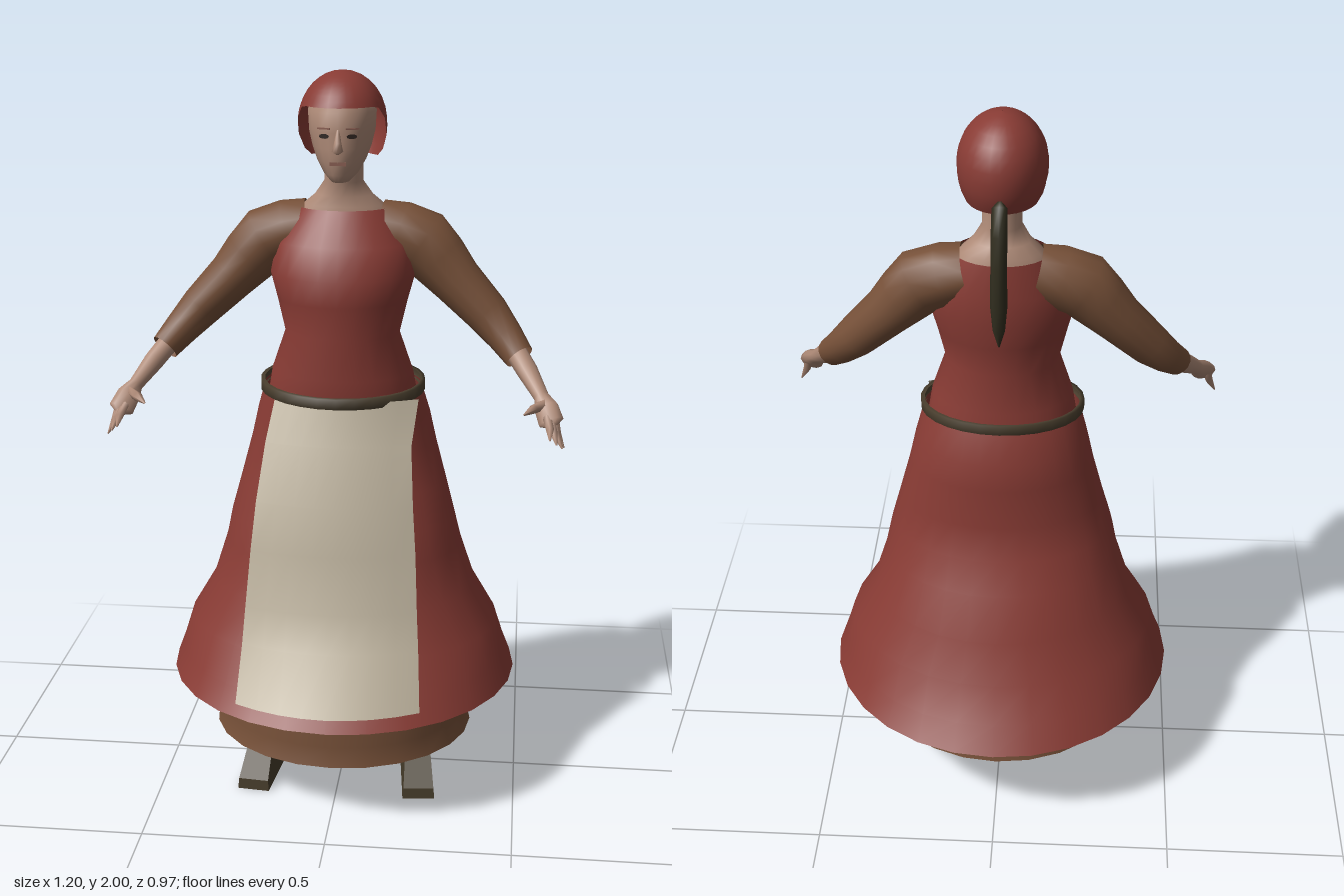
import * as THREE from 'three';

const V = (x, y, z) => new THREE.Vector3(x, y, z);

function paint(name, color, double = false) {
  const m = new THREE.MeshStandardMaterial({ color });
  m.name = name;
  if (double) m.side = THREE.DoubleSide;
  return m;
}

// Skin over rows of points; closed rows wrap around
function loft(rows, closed = true) {
  const n = rows[0].length, index = [];
  for (let r = 0; r < rows.length - 1; r++) {
    for (let i = 0; i < (closed ? n : n - 1); i++) {
      const j = (i + 1) % n, a = r * n + i, b = r * n + j;
      index.push(a, b, b + n, a, b + n, a + n);
    }
  }
  const g = new THREE.BufferGeometry().setFromPoints(rows.flat());
  g.setIndex(index);
  g.computeVertexNormals();
  return g;
}

// Upright body from rings of [y, half width, front z, back z]
function body(rings, n = 24, tilt = 0) {
  return loft(rings.map(([y, w, f, b]) => Array.from({ length: n }, (_, i) => {
    const a = i / n * Math.PI * 2;
    const z = (f + b) / 2 + Math.cos(a) * (f - b) / 2;
    return V(Math.sin(a) * w, y + tilt * z, z);
  })));
}

// Limb along a path of [x, y, z, radius, depth radius], mirrored by side s
function limb(path, s = 1, n = 10) {
  const p = path.map(q => V(q[0] * s, q[1], q[2]));
  return loft(path.map((q, k) => {
    const t = p[Math.min(k + 1, p.length - 1)].clone().sub(p[Math.max(k - 1, 0)]).normalize();
    const v = V(0, 0, 1).addScaledVector(t, -t.z).normalize();
    const u = t.clone().cross(v);
    return Array.from({ length: n }, (_, i) => {
      const a = i / n * Math.PI * 2;
      return p[k].clone().addScaledVector(u, Math.sin(a) * q[3])
        .addScaledVector(v, Math.cos(a) * (q[4] ?? q[3]));
    });
  }));
}

export function createModel() {
  const model = new THREE.Group();
  model.name = 'womanInApron';
  const red = paint('redCloth', 0x883b34, true);
  const brown = paint('brownCloth', 0x765038, true);
  const linen = paint('linen', 0xbfb49f, true);
  const skin = paint('skin', 0xae8a77);
  const leather = paint('shoeLeather', 0x463c2a);
  const beltMat = paint('beltLeather', 0x4a3f2e, true);
  const hair = paint('darkHair', 0x312e1f);
  const dark = paint('eyeDark', 0x2e2420);
  const lip = paint('lip', 0x8a5f52);
  const add = (name, geo, mat) => {
    const m = new THREE.Mesh(geo, mat);
    m.name = name;
    model.add(m);
    return m;
  };

  // Skirts and bodice
  add('underskirt', body([
    [0.147, 0.368, 0.35, -0.325], [0.2, 0.352, 0.335, -0.31],
    [0.33, 0.352, 0.335, -0.305], [0.45, 0.33, 0.31, -0.29], [0.62, 0.28, 0.24, -0.24],
  ]), brown);
  add('skirt', body([
    [0.318, 0.488, 0.48, -0.485], [0.38, 0.465, 0.425, -0.43], [0.47, 0.437, 0.36, -0.365],
    [0.58, 0.372, 0.3, -0.312], [0.7, 0.333, 0.265, -0.258], [0.78, 0.315, 0.245, -0.205],
    [0.88, 0.288, 0.2, -0.182], [1.0, 0.256, 0.19, -0.18], [1.08, 0.238, 0.185, -0.172],
    [1.16, 0.215, 0.18, -0.14],
  ], 28), red);
  add('bodice', body([
    [1.13, 0.205, 0.18, -0.115], [1.2, 0.193, 0.185, -0.105], [1.31, 0.155, 0.177, -0.09],
    [1.4, 0.176, 0.185, -0.105], [1.47, 0.195, 0.187, -0.115], [1.55, 0.185, 0.148, -0.115],
    [1.64, 0.125, 0.09, -0.1],
  ]), red);
  add('belt', body([
    [1.15, 0.214, 0.203, -0.135], [1.15, 0.225, 0.215, -0.145],
    [1.178, 0.225, 0.215, -0.145], [1.178, 0.214, 0.203, -0.135],
  ], 28, -0.08), beltMat);

  // Apron rows: y, right edge, left edge, middle z, setback at the edges
  const apron = [
    [0.36, -0.25, 0.245, 0.482, 0.07], [0.5, -0.242, 0.235, 0.385, 0.05],
    [0.6, -0.236, 0.228, 0.345, 0.04], [0.75, -0.225, 0.22, 0.305, 0.035],
    [0.88, -0.212, 0.21, 0.287, 0.04], [1.03, -0.193, 0.2, 0.225, 0.035],
    [1.15, -0.17, 0.215, 0.195, 0.05],
  ];
  add('apron', loft(apron.map(([y, l, r, z, d]) => Array.from({ length: 9 }, (_, i) => {
    const t = i / 4 - 1;
    return V(l + (r - l) * i / 8, y, z - d * t * t);
  })), false), linen);

  // Neck and head
  add('neck', body([
    [1.6, 0.13, 0.07, -0.085], [1.645, 0.11, 0.065, -0.08], [1.672, 0.078, 0.058, -0.06],
    [1.71, 0.052, 0.066, -0.045], [1.8, 0.052, 0.08, -0.045],
  ], 16), skin);
  add('head', body([
    [1.718, 0.001, 0.115, 0.105], [1.722, 0.025, 0.138, 0.04], [1.742, 0.045, 0.152, -0.01],
    [1.775, 0.064, 0.158, -0.04], [1.81, 0.077, 0.161, -0.055], [1.85, 0.087, 0.157, -0.06],
    [1.9, 0.09, 0.157, -0.06], [1.95, 0.07, 0.125, -0.04], [1.975, 0.001, 0.045, 0.043],
  ], 20), skin);
  add('nose', limb([
    [0, 1.798, 0.158, 0.003], [0, 1.806, 0.162, 0.015, 0.018],
    [0, 1.825, 0.16, 0.01, 0.013], [0, 1.86, 0.153, 0.004],
  ], 1, 8), skin);
  const mouth = add('mouth', new THREE.BoxGeometry(0.042, 0.009, 0.008), lip);
  mouth.position.set(0, 1.773, 0.154);

  // Cap, cut high over the face and sloping low to the nape
  const capRows = [];
  for (let k = 10; k >= 0; k--) {
    capRows.push(Array.from({ length: 28 }, (_, i) => {
      const a = i / 28 * Math.PI * 2;
      const end = 2.32 - 1.13 * THREE.MathUtils.smoothstep(Math.cos(a), -0.5, 0.55);
      const phi = end * Math.max(k / 10, 0.002);
      const r = Math.sin(phi) ** (phi > Math.PI / 2 ? 0.6 : 1);
      return V(Math.sin(a) * r * 0.117, 1.865 + Math.cos(phi) * 0.135, 0.042 + Math.cos(a) * r * 0.14);
    }));
  }
  add('cap', loft(capRows), red);

  // Braid hanging down the back
  add('braid', limb([
    [0, 1.815, -0.085, 0.004], [0, 1.805, -0.105, 0.02], [0, 1.74, -0.132, 0.021],
    [0, 1.66, -0.145, 0.021], [0, 1.55, -0.145, 0.022], [0, 1.48, -0.142, 0.016],
    [0, 1.43, -0.138, 0.002],
  ], 1, 8), hair);

  // Shoe side profile in (z, y)
  const sole = new THREE.Shape([[0.235, 0], [0.232, 0.03], [0.13, 0.115], [0.07, 0.13],
    [-0.02, 0.13], [-0.055, 0.005], [-0.05, 0]].map(([z, y]) => new THREE.Vector2(z, y)));

  for (const s of [1, -1]) {
    const side = s > 0 ? 'left' : 'right';
    const eye = add(side + 'Eye', new THREE.CircleGeometry(0.014, 10), dark);
    eye.scale.y = 0.45;
    eye.position.set(s * 0.036, 1.843, 0.153);
    eye.rotation.y = s * 0.3;
    const brow = add(side + 'Brow', new THREE.BoxGeometry(0.036, 0.004, 0.006), lip);
    brow.position.set(s * 0.037, 1.862, 0.148);
    brow.rotation.y = s * 0.35;

    // Sleeve, forearm and hand
    add(side + 'Sleeve', limb([
      [0.09, 1.585, -0.01, 0.072, 0.08], [0.15, 1.57, -0.008, 0.083, 0.088],
      [0.212, 1.545, -0.002, 0.089, 0.084], [0.255, 1.5, 0, 0.08, 0.078],
      [0.305, 1.445, 0.01, 0.068, 0.07], [0.39, 1.36, 0.028, 0.058, 0.062],
      [0.44, 1.305, 0.06, 0.048, 0.046], [0.478, 1.262, 0.1, 0.04, 0.036],
    ], s, 14), brown);
    add(side + 'Forearm', limb([
      [0.455, 1.29, 0.075, 0.03], [0.5, 1.235, 0.14, 0.028], [0.538, 1.185, 0.205, 0.02],
      [0.552, 1.163, 0.235, 0.032, 0.022], [0.565, 1.135, 0.265, 0.034, 0.02],
      [0.57, 1.12, 0.275, 0.002],
    ], s), skin);
    const tips = [[0.6, 1.07, 0.275], [0.595, 1.075, 0.3], [0.58, 1.09, 0.32], [0.562, 1.105, 0.335]];
    tips.forEach(([x, y, z], i) => add(side + 'Finger' + (i + 1), limb([
      [0.572 - i * 0.006, 1.148, 0.242 + i * 0.008, 0.012],
      [(x + 0.563) / 2, (y + 1.14) / 2, (z + 0.26) / 2, 0.011],
      [x, y, z, 0.002],
    ], s, 5), skin));
    add(side + 'Thumb', limb([
      [0.55, 1.175, 0.23, 0.014], [0.52, 1.17, 0.265, 0.013], [0.493, 1.16, 0.295, 0.002],
    ], s, 5), skin);

    // Ankle and shoe, wider at the sole
    const ankle = add(side + 'Ankle', new THREE.CylinderGeometry(0.024, 0.026, 0.07, 10), skin);
    ankle.position.set(s * 0.22, 0.145, 0.02);
    const shoe = new THREE.ExtrudeGeometry(sole, { depth: 0.09, bevelEnabled: false });
    shoe.rotateY(-Math.PI / 2).translate(0.045, 0, 0);
    const p = shoe.attributes.position;
    for (let i = 0; i < p.count; i++) p.setX(i, p.getX(i) * (1 - 2 * p.getY(i)));
    shoe.computeVertexNormals();
    const foot = add(side + 'Shoe', shoe, leather);
    foot.position.set(s * 0.212, 0, 0);
    foot.rotation.y = s * 0.1;
  }
  return model;
}
